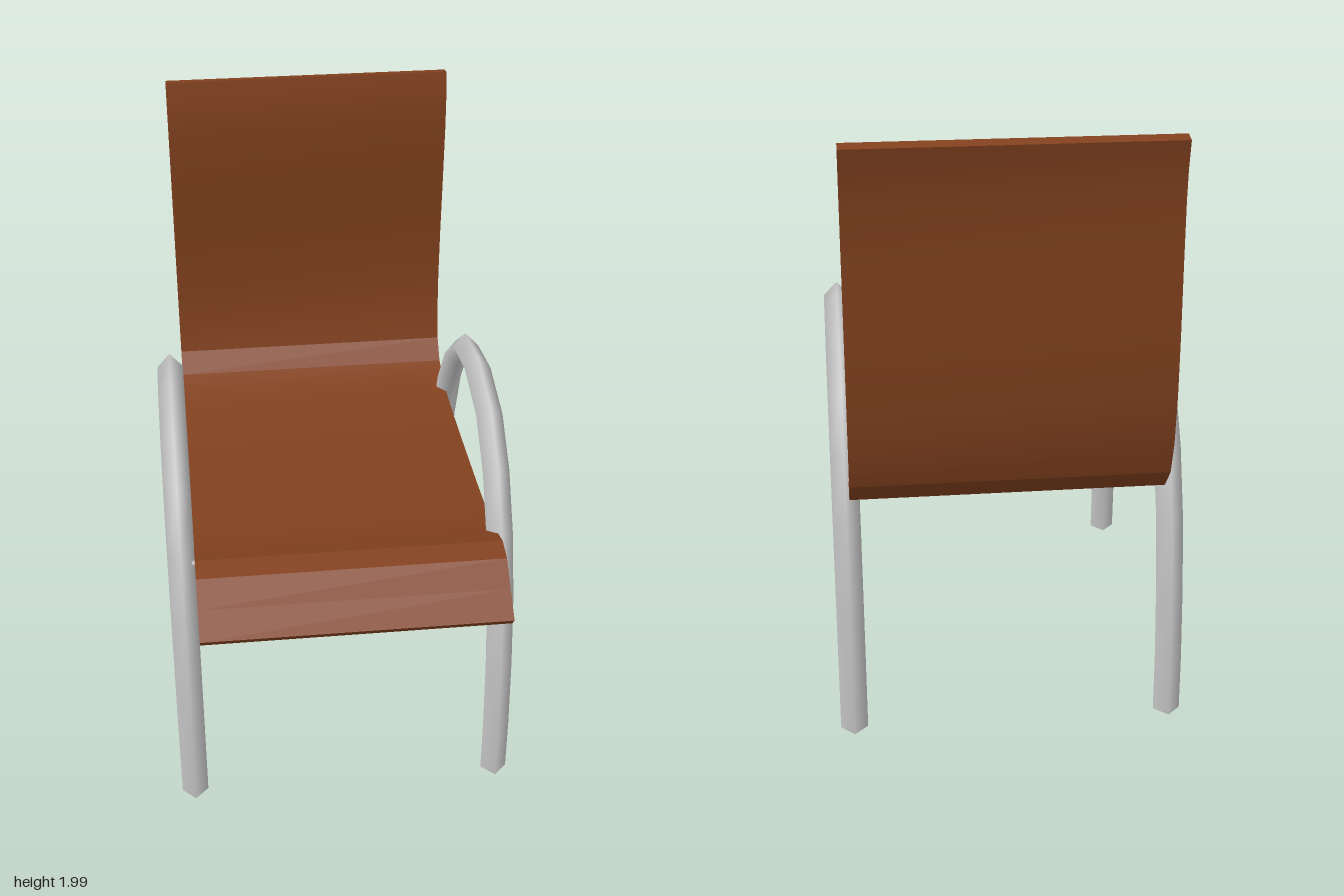
import * as THREE from 'three';
import { toCreasedNormals } from 'three/addons/utils/BufferGeometryUtils.js';

const wood = new THREE.MeshStandardMaterial({ color: 0x84421f });
const metal = new THREE.MeshStandardMaterial({ color: 0xcccccc });

// Path that runs straight from point to point, keeping the corners
class Polyline extends THREE.Curve {
  constructor(points) { super(); this.points = points; }
  getPoint(t, target = new THREE.Vector3()) {
    const s = t * (this.points.length - 1);
    const i = Math.min(Math.floor(s), this.points.length - 2);
    return target.lerpVectors(this.points[i], this.points[i + 1], s - i);
  }
  getPointAt(t, target) { return this.getPoint(t, target); }
  getTangentAt(t, target) { return this.getTangent(t, target); }
}

// Bent sheet: centre line as [z, y], thickened and extruded across x
function makeShell() {
  const line = [
    [0.79, 0.8], [0.71, 0.862], [0.635, 0.92], [0.57, 0.93], [0.49, 0.902],
    [0.35, 0.87], [0.15, 0.852], [-0.1, 0.836], [-0.32, 0.825], [-0.46, 0.824],
    [-0.57, 0.833], [-0.655, 0.865], [-0.722, 0.938], [-0.752, 1.04], [-0.768, 1.2],
    [-0.769, 1.4], [-0.763, 1.6], [-0.76, 1.8], [-0.766, 1.9], [-0.785, 1.993],
  ].map(([z, y]) => new THREE.Vector2(-z, y));
  const offset = d => line.map((p, i) => {
    const a = line[Math.max(i - 1, 0)], b = line[Math.min(i + 1, line.length - 1)];
    const t = b.clone().sub(a).normalize();
    return new THREE.Vector2(p.x - t.y * d, p.y + t.x * d);
  });
  const shape = new THREE.Shape([...offset(-0.021), ...offset(0.021).reverse()]);
  const geo = new THREE.ExtrudeGeometry(shape, { depth: 0.983, bevelEnabled: false });
  geo.rotateY(Math.PI / 2).translate(-0.478, 0, 0);
  const mesh = new THREE.Mesh(toCreasedNormals(geo, 0.3), wood);
  mesh.name = 'seatAndBackShell';
  return mesh;
}

// Four-sided arched tube forming front leg, armrest and back leg
function makeArch(name, x, apex) {
  const half = [[0.642, 0.004], [0.636, 0.2], [0.61, 0.45], [0.562, 0.695], [0.485, 0.905], [0.372, 1.078], [0.22, 1.198]];
  const k = apex / 1.24;
  const pts = [
    ...half.map(([z, y]) => [z, y]),
    [0, 1.24],
    ...half.map(([z, y]) => [-z, y]).reverse(),
  ].map(([z, y]) => new THREE.Vector3(0, y * k, z));
  const group = new THREE.Group();
  group.name = name;
  group.position.set(x, 0, -0.007);
  const tube = new THREE.Mesh(new THREE.TubeGeometry(new Polyline(pts), pts.length - 1, 0.044, 4), metal);
  tube.name = 'archTube';
  group.add(tube);
  // End caps under the legs
  for (const z of [0.642, -0.642]) {
    const cap = new THREE.Mesh(new THREE.CircleGeometry(0.044, 4).rotateX(Math.PI / 2), metal);
    cap.position.set(0, 0.004, z);
    cap.name = 'legEnd';
    group.add(cap);
  }
  return group;
}

// Thin rod under the seat joining the arches
function makeRod(name, y, z) {
  const rod = new THREE.Mesh(new THREE.CylinderGeometry(0.01, 0.01, 1.03, 8).rotateZ(Math.PI / 2), metal);
  rod.position.set(0, y, z);
  rod.name = name;
  return rod;
}

export function createModel() {
  const chair = new THREE.Group();
  chair.name = 'chair';
  chair.add(
    makeShell(),
    makeArch('leftArch', 0.516, 1.24),
    makeArch('rightArch', -0.521, 1.222),
    makeRod('frontRod', 0.877, 0.485),
    makeRod('backRod', 0.8, -0.55),
  );
  return chair;
}
